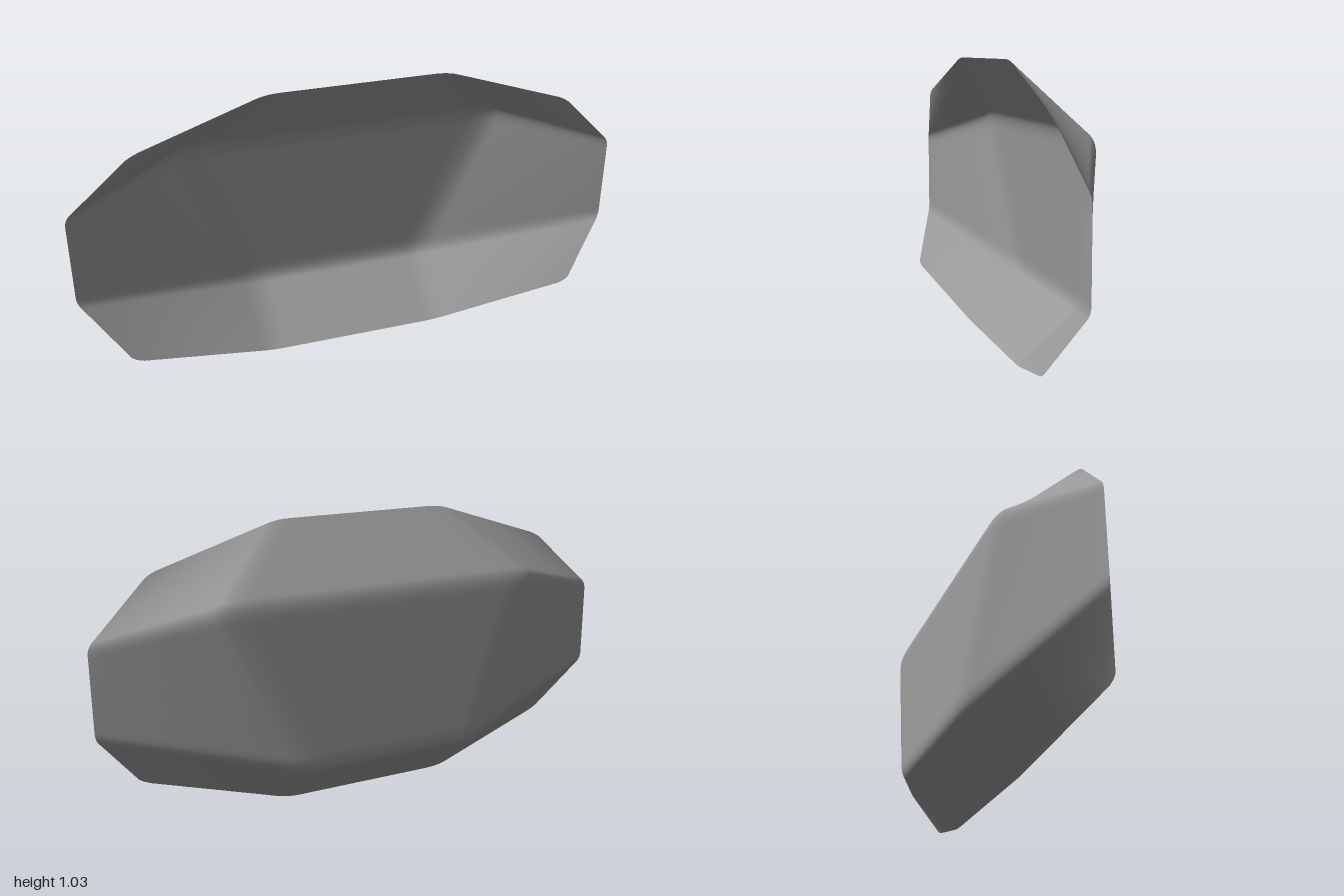
import * as THREE from 'three';

// Fold corners for the +x half, top row to bottom row: inner column, outer column
const ROWS = [
  [[0.32, 1.033, 0.095], [0.775, 0.885, 0.11]],
  [[0.59, 0.79, -0.107], [1, 0.67, 0.07]],
  [[0.33, 0.193, -0.155], [1, 0.35, 0.07]],
  [[0.32, 0, 0.065], [0.835, 0.13, 0.155]],
];
const NET = ROWS.map(([inner, outer]) => {
  const at = (p, s) => new THREE.Vector3(p[0] * s, p[1], p[2]);
  return [at(outer, -1), at(inner, -1), at(inner, 1), at(outer, 1)];
});

const R = 0.08; // half width of each rounded fold, as a share of a panel

// Straight panels joined by small quadratic roundings at folds 1 and 2
function weights(t) {
  return [0, 1, 2, 3].map((k) => {
    const d = Math.abs(t - k);
    const hat = Math.max(0, 1 - d);
    for (const fold of [1, 2]) {
      const e = Math.abs(t - fold);
      if (e >= R) continue;
      const lift = (R - e) ** 2 / (4 * R);
      if (k === fold) return hat - 2 * lift;
      if (Math.abs(k - fold) === 1) return hat + lift;
    }
    return hat;
  });
}

// Samples gather around the folds and near the rim
function samples() {
  const list = [0, 0.06];
  for (let panel = 0; panel < 3; panel++) {
    for (const f of [0.25, 0.5, 0.75]) list.push(panel + f);
  }
  for (const fold of [1, 2]) {
    for (let i = -3; i <= 3; i++) list.push(fold + (i * R) / 3);
    list.push(fold - R - 0.03, fold + R + 0.03);
  }
  list.push(2.94, 3);
  return list.sort((a, b) => a - b);
}

function foldedShell() {
  const ts = samples();
  const n = ts.length;
  const points = [];
  for (const v of ts) {
    const wv = weights(v);
    for (const u of ts) {
      const wu = weights(u);
      const p = new THREE.Vector3();
      NET.forEach((row, j) => row.forEach((c, i) => p.addScaledVector(c, wv[j] * wu[i])));
      points.push(p);
    }
  }
  // Clip the four outer corners
  for (const j of [0, n - 1]) {
    for (const i of [0, n - 1]) {
      const sideways = points[j * n + (i ? i - 1 : 1)];
      const inward = points[(j ? j - 1 : 1) * n + i];
      points[j * n + i].lerp(sideways.clone().add(inward).multiplyScalar(0.5), 0.7);
    }
  }
  const index = [];
  for (let j = 0; j < n - 1; j++) {
    for (let i = 0; i < n - 1; i++) {
      const a = j * n + i;
      index.push(a, a + n, a + 1, a + 1, a + n, a + n + 1);
    }
  }
  const geometry = new THREE.BufferGeometry().setFromPoints(points);
  geometry.setIndex(index);
  geometry.computeVertexNormals();
  return geometry;
}

export function createModel() {
  const group = new THREE.Group();
  group.name = 'curvedPanel';
  const material = new THREE.MeshStandardMaterial({ color: 0x999999, side: THREE.DoubleSide });
  const shell = new THREE.Mesh(foldedShell(), material);
  shell.name = 'foldedShell';
  group.add(shell);
  return group;
}
